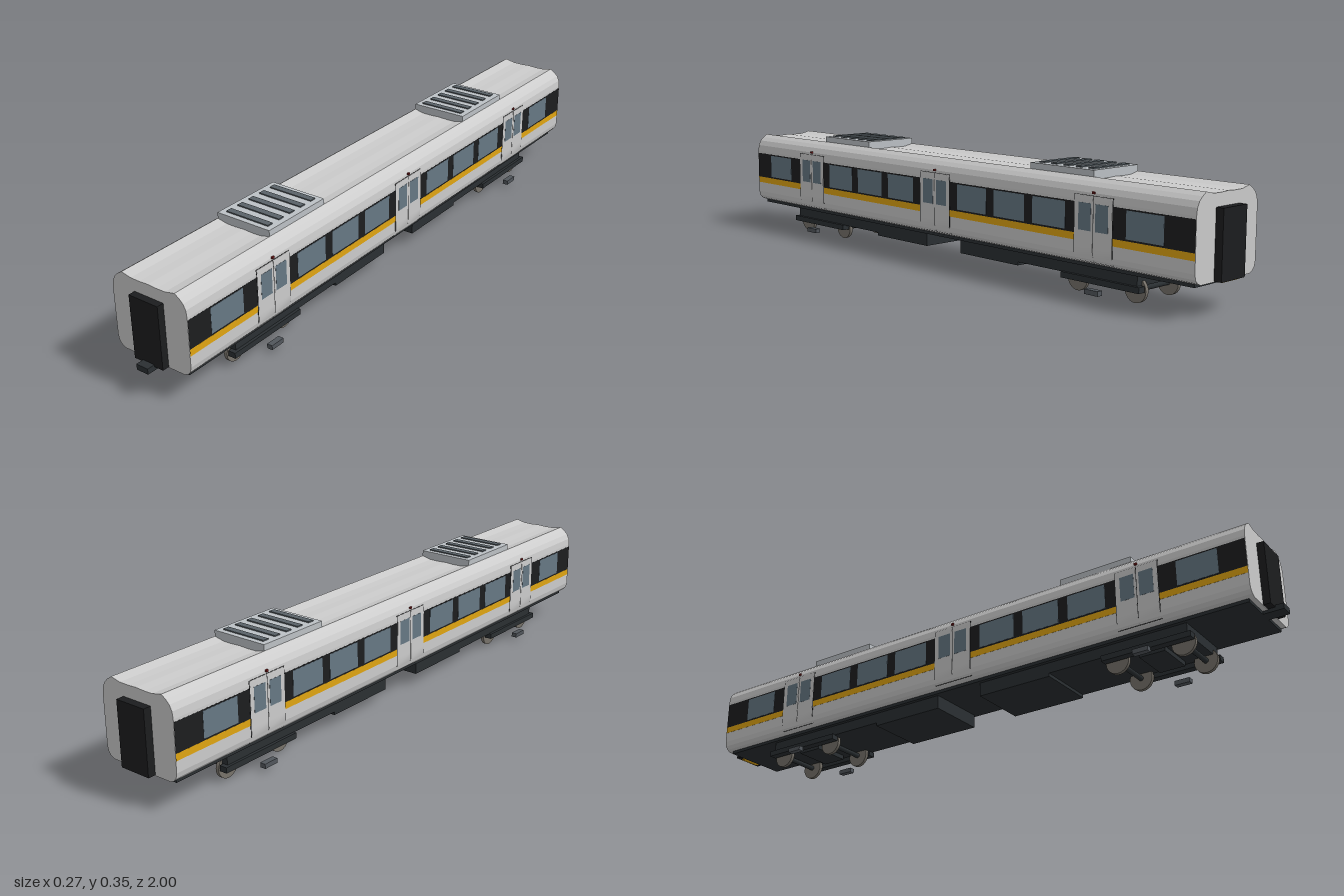
import * as THREE from 'three';

const mat = (color) => new THREE.MeshStandardMaterial({ color });

// Right half of the body cross-section, bottom to top: [x, y]
const PROFILE = [
  [0.105, 0.091], [0.118, 0.097], [0.126, 0.107], [0.1295, 0.122], [0.1295, 0.268],
  [0.127, 0.288], [0.119, 0.304], [0.107, 0.315], [0.092, 0.325], [0.06, 0.318], [0.03, 0.3175],
];

// Half width of the body at height y
function sideX(y) {
  for (let i = 1; i < 8; i++) {
    const [x0, y0] = PROFILE[i - 1], [x1, y1] = PROFILE[i];
    if (y <= y1) return x0 + (x1 - x0) * Math.max(0, (y - y0) / (y1 - y0));
  }
  return 0.092;
}

export function createModel() {
  const train = new THREE.Group();
  train.name = 'railCarriage';
  const M = {
    body: mat(0xcccccc), door: mat(0xc4c6c7), black: mat(0x1c1d1f), under: mat(0x2a2f32),
    yellow: mat(0xe0a512), glass: mat(0x667884), wheel: mat(0x77726a), slat: mat(0x596268),
    unit: mat(0xbcc1c5), red: mat(0x7a1c1c), step: mat(0x51565c),
  };
  const add = (name, geo, m, parent = train) => {
    const mesh = new THREE.Mesh(geo, m);
    mesh.name = name;
    parent.add(mesh);
    return mesh;
  };
  // Box given by its extents
  const box = (name, m, x0, x1, y0, y1, z0, z1, parent) => {
    const mesh = add(name, new THREE.BoxGeometry(x1 - x0, y1 - y0, z1 - z0), m, parent);
    mesh.position.set((x0 + x1) / 2, (y0 + y1) / 2, (z0 + z1) / 2);
    return mesh;
  };
  // Thin panel that follows the side wall; off is its height above the wall
  const panel = (name, m, side, y0, y1, zc, len, off, parent) => {
    const geo = new THREE.BoxGeometry(0.004, y1 - y0, len, 1, 8, 1);
    geo.translate(0, (y0 + y1) / 2, zc);
    const p = geo.attributes.position;
    for (let i = 0; i < p.count; i++) {
      p.setX(i, p.getX(i) + side * (sideX(p.getY(i)) + off - 0.002));
    }
    geo.computeVertexNormals();
    return add(name, geo, m, parent);
  };

  const Z0 = -0.977, Z1 = 0.955, C = -0.008;

  // Body shell with slightly hollow roof
  const pts = PROFILE.map(([x, y]) => new THREE.Vector2(x, y));
  const left = PROFILE.map(([x, y]) => new THREE.Vector2(-x, y)).reverse();
  const shell = new THREE.ExtrudeGeometry(new THREE.Shape([...pts, new THREE.Vector2(0, 0.319), ...left]),
    { depth: Z1 - Z0, bevelEnabled: false });
  add('bodyShell', shell, M.body).position.z = Z0;

  // Side walls: window band, stripe, windows and doors
  const doorZ = [C + 0.636, C, C - 0.636];
  const windowZ = [0.82, 0.473, 0.318, 0.163, -0.163, -0.318, -0.473, -0.81].map((z) => z + C);
  for (const s of [1, -1]) {
    const wall = new THREE.Group();
    wall.name = s > 0 ? 'leftSide' : 'rightSide';
    train.add(wall);
    const mid = (Z0 + Z1) / 2, len = Z1 - Z0 - 0.002;
    panel('windowBand', M.black, s, 0.174, 0.26, mid, len, 0.0004, wall);
    panel('stripe', M.yellow, s, 0.155, 0.175, mid, len, 0.0006, wall);
    for (const z of windowZ) panel('window', M.glass, s, 0.18, 0.256, z, 0.123, 0.0009, wall);
    for (const z of doorZ) {
      panel('doorFrame', M.black, s, 0.1, 0.281, z, 0.136, 0.0008, wall);
      for (const d of [1, -1]) {
        panel('doorLeaf', M.door, s, 0.101, 0.28, z + d * 0.0335, 0.065, 0.0014, wall);
        panel('doorWindow', M.glass, s, 0.185, 0.26, z + d * 0.03, 0.044, 0.0018, wall);
      }
      const lx = s * 0.1295;
      box('doorLamp', M.red, lx - 0.0025, lx + 0.0025, 0.286, 0.292, z - 0.004, z + 0.004, wall);
    }
    // Low blocks beside the bogies
    for (const z of [doorZ[0], doorZ[2]]) {
      box('trackBlock', M.step, s * 0.126 - 0.009, s * 0.126 + 0.009, 0.013, 0.027, z - 0.024, z + 0.024, wall);
    }
  }

  // End gangways, coupler and sill plate
  box('frontGangway', M.black, -0.05, 0.05, 0.093, 0.282, Z1 - 0.01, 0.976);
  box('rearGangway', M.black, -0.05, 0.05, 0.093, 0.282, -1, Z0 + 0.01);
  box('coupler', M.under, -0.02, 0.02, 0.082, 0.099, 0.9, 1);
  box('rearSill', M.yellow, -0.035, 0.035, 0.0895, 0.0935, -0.992, Z0 + 0.01);

  // Roof units with slats
  for (const z of [0.477, -0.493]) {
    const unit = new THREE.Group();
    unit.name = 'roofUnit';
    unit.position.z = z;
    train.add(unit);
    box('roofUnitCase', M.unit, -0.092, 0.092, 0.314, 0.343, -0.118, 0.118, unit);
    for (let i = -2; i <= 2; i++) {
      box('slat', M.slat, -0.074, 0.074, 0.341, 0.3465, i * 0.046 - 0.01, i * 0.046 + 0.01, unit);
    }
  }

  // Underframe and equipment boxes
  box('underframe', M.under, -0.107, 0.107, 0.082, 0.092, Z0 + 0.017, Z1 - 0.015);
  for (const s of [1, -1]) {
    const mid = C + s * 0.2;
    box('equipmentBox', M.under, -0.095, 0.095, 0.04, 0.083, mid - 0.122, mid + 0.122);
  }

  // Bogies: block, side frames, axles and wheels
  for (const s of [1, -1]) {
    const bogie = new THREE.Group();
    bogie.name = s > 0 ? 'frontBogie' : 'rearBogie';
    bogie.position.z = C + s * 0.636;
    train.add(bogie);
    const a = s > 0 ? -0.32 : -0.125, b = s > 0 ? 0.125 : 0.32;
    box('bogieBlock', M.under, -0.095, 0.095, 0.05, 0.083, a, b, bogie);
    box('bolster', M.under, -0.062, 0.062, 0.036, 0.052, -0.04, 0.04, bogie);
    for (const d of [1, -1]) {
      box('sideFrame', M.under, d * 0.092 - 0.012, d * 0.092 + 0.012, 0.035, 0.052, -0.138, 0.138, bogie);
      const axle = add('axle', new THREE.CylinderGeometry(0.008, 0.008, 0.14, 12), M.under, bogie);
      axle.rotation.z = Math.PI / 2;
      axle.position.set(0, 0.036, d * 0.102);
      for (const x of [0.069, -0.069]) {
        const wheel = add('wheel', new THREE.CylinderGeometry(0.036, 0.036, 0.011, 24), M.wheel, bogie);
        wheel.rotation.z = Math.PI / 2;
        wheel.position.set(x, 0.036, d * 0.102);
      }
    }
  }
  return train;
}
